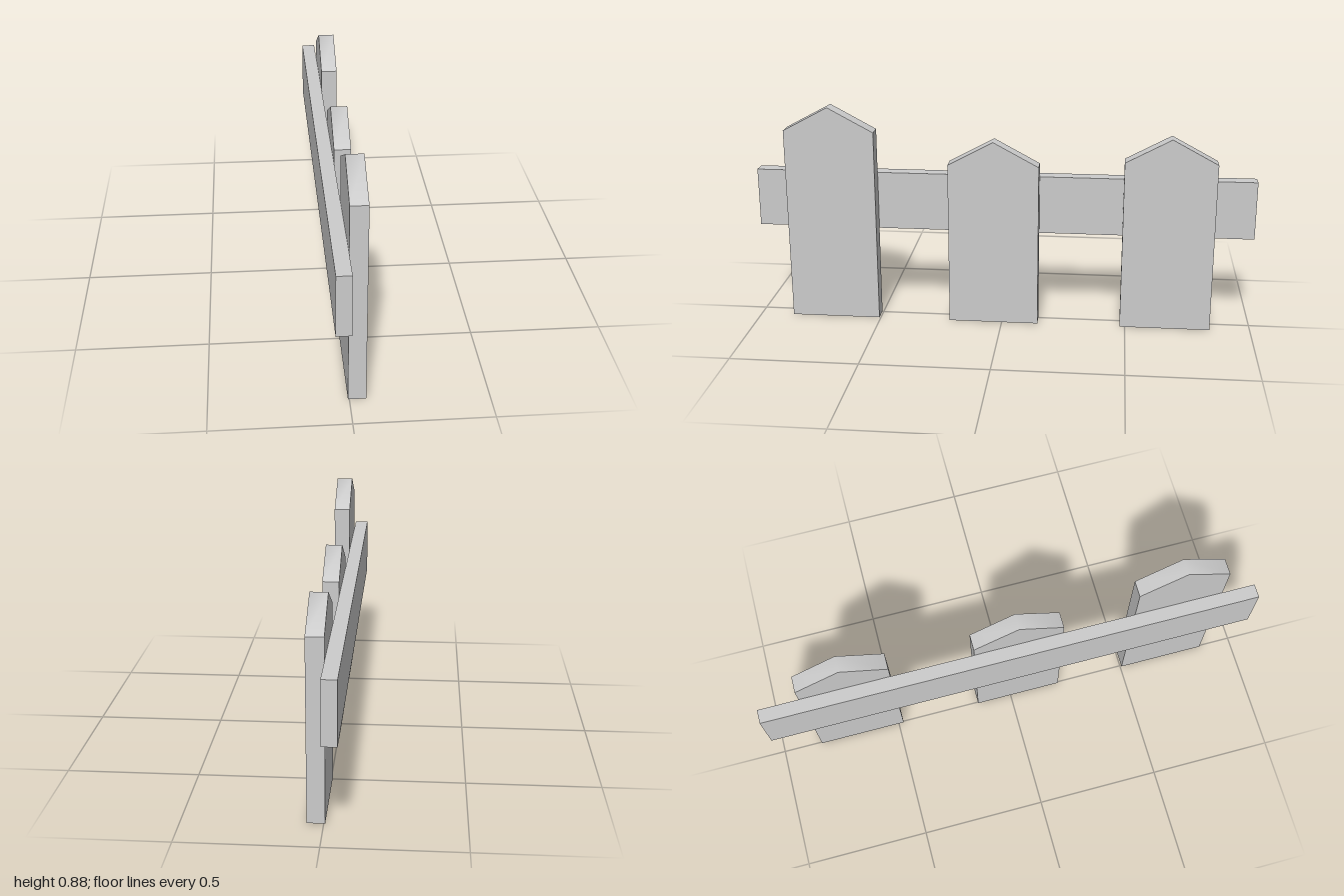
import * as THREE from 'three';
import { toCreasedNormals } from 'three/addons/utils/BufferGeometryUtils.js';

const material = new THREE.MeshStandardMaterial({ color: 0xcccccc });

// Upright board with a pointed top, its broad face turned towards +x
function picket(z, peak) {
  const half = 0.18, shoulder = peak - 0.097, thickness = 0.065;
  const outline = new THREE.Shape([
    new THREE.Vector2(-half, 0),
    new THREE.Vector2(half, 0),
    new THREE.Vector2(half, shoulder),
    new THREE.Vector2(0, peak),
    new THREE.Vector2(-half, shoulder),
  ]);
  const board = new THREE.ExtrudeGeometry(outline, { depth: thickness, bevelEnabled: false });
  board.rotateY(-Math.PI / 2);
  // The two slopes blend softly at the peak, all other edges stay sharp
  const mesh = new THREE.Mesh(toCreasedNormals(board, Math.PI / 3), material);
  mesh.position.set(0.06, 0, z);
  return mesh;
}

export function createModel() {
  const fence = new THREE.Group();
  fence.name = 'fence';

  // Horizontal rail behind the pickets
  const rail = new THREE.Mesh(new THREE.BoxGeometry(0.055, 0.235, 2), material);
  rail.name = 'rail';
  rail.position.set(-0.0325, 0.4865, 0);
  fence.add(rail);

  // Three pickets of different heights: [z, peak height]
  const pickets = [[0.686, 0.881], [0.034, 0.757], [-0.659, 0.785]];
  pickets.forEach(([z, peak], i) => {
    const mesh = picket(z, peak);
    mesh.name = `picket${i + 1}`;
    fence.add(mesh);
  });

  return fence;
}
